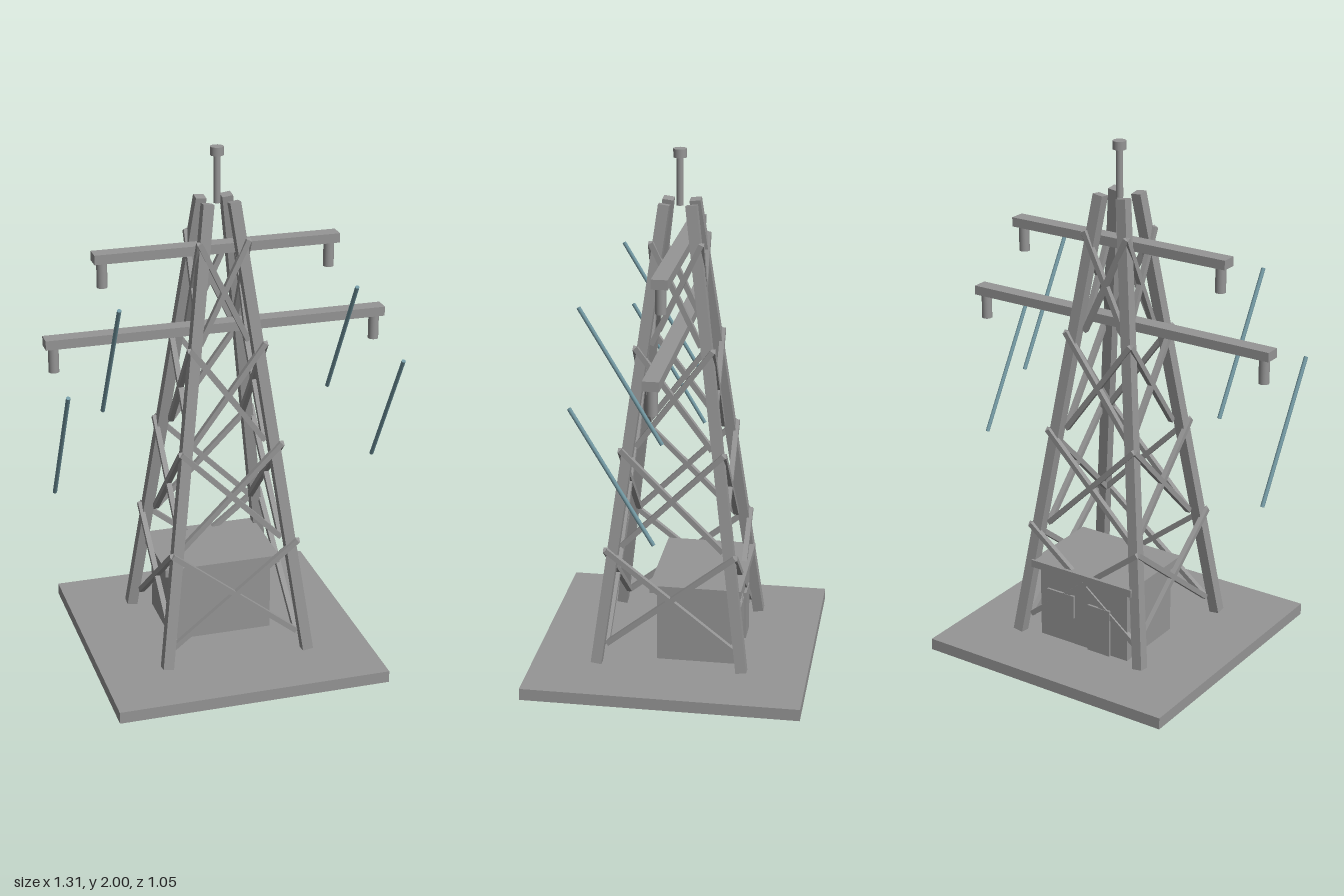
import * as THREE from 'three';

const steel = new THREE.MeshStandardMaterial({ color: 0x959595 });
steel.name = 'grey steel';
const wireBlue = new THREE.MeshStandardMaterial({ color: 0x7399a3 });
wireBlue.name = 'blue-grey wire';

export function createModel() {
  const model = new THREE.Group();
  model.name = 'transmissionTower';

  const add = (name, geometry, x, y, z, material = steel) => {
    const mesh = new THREE.Mesh(geometry, material);
    mesh.name = name;
    mesh.position.set(x, y, z);
    model.add(mesh);
    return mesh;
  };
  // Axis-aligned box given by its limits
  const box = (name, x0, x1, y0, y1, z0, z1) =>
    add(name, new THREE.BoxGeometry(x1 - x0, y1 - y0, z1 - z0), (x0 + x1) / 2, (y0 + y1) / 2, (z0 + z1) / 2);
  // Upright cylinder between two heights
  const post = (name, r, x, y0, y1, sides = 16) =>
    add(name, new THREE.CylinderGeometry(r, r, y1 - y0, sides), x, (y0 + y1) / 2, 0);
  // Bar running between two points
  const up = new THREE.Vector3(0, 1, 0);
  const bar = (name, a, b, makeGeometry, material) => {
    const dir = b.clone().sub(a);
    const mid = a.clone().add(b).multiplyScalar(0.5);
    const mesh = add(name, makeGeometry(dir.length()), mid.x, mid.y, mid.z, material);
    mesh.quaternion.setFromUnitVectors(up, dir.normalize());
  };
  const square = (w) => (length) => new THREE.BoxGeometry(w, length, w);
  const v = (x, y, z) => new THREE.Vector3(x, y, z);

  // Ground slab
  box('baseSlab', -0.527, 0.527, 0, 0.046, -0.527, 0.527);

  // Equipment hut with door and window on the back
  box('hutWalls', -0.2, 0.2, 0.046, 0.335, -0.248, 0.058);
  box('hutRoof', -0.23, 0.23, 0.335, 0.365, -0.268, 0.082);
  box('hutDoor', -0.125, -0.025, 0.046, 0.24, -0.258, -0.248);
  box('hutWindow', 0.04, 0.165, 0.16, 0.255, -0.257, -0.248);

  // Four leaning legs
  for (const sx of [-1, 1]) {
    for (const sz of [-1, 1]) {
      bar('leg', v(sx * 0.279, 0.055, sz * 0.279), v(sx * 0.05, 1.803, sz * 0.05), square(0.041));
    }
  }

  // Crossed braces: four tiers on four sides
  const tier = 0.387;
  for (let i = 0; i < 4; i++) {
    const y0 = 0.12 + i * tier;
    const y1 = y0 + tier;
    const w = 0.245 - i * 0.0508;
    for (const side of [-1, 1]) {
      for (const s of [-1, 1]) {
        bar('faceBrace', v(-s * w, y0, side * w), v(s * w, y1, side * w), square(0.02));
        bar('sideBrace', v(side * w, y0, -s * w), v(side * w, y1, s * w), square(0.02));
      }
    }
  }

  // Crossarms with hanging insulators and slanting wires
  const arms = [
    { half: 0.655, y: 1.296, insulator: 0.622, wire: 0.633 },
    { half: 0.467, y: 1.604, insulator: 0.434, wire: 0.442 },
  ];
  for (const arm of arms) {
    box('crossarm', -arm.half, arm.half, arm.y, arm.y + 0.036, -0.03, 0.03);
    for (const s of [-1, 1]) {
      post('insulator', 0.02, s * arm.insulator, arm.y - 0.096, arm.y);
      bar('wire', v(s * arm.wire, arm.y - 0.582, -0.004), v(s * arm.wire, arm.y - 0.085, 0.291),
        (length) => new THREE.CylinderGeometry(0.008, 0.008, length, 10), wireBlue);
    }
  }

  // Mast and cap at the peak
  post('mast', 0.013, 0, 1.79, 1.97);
  post('mastCap', 0.025, 0, 1.968, 2);

  return model;
}
